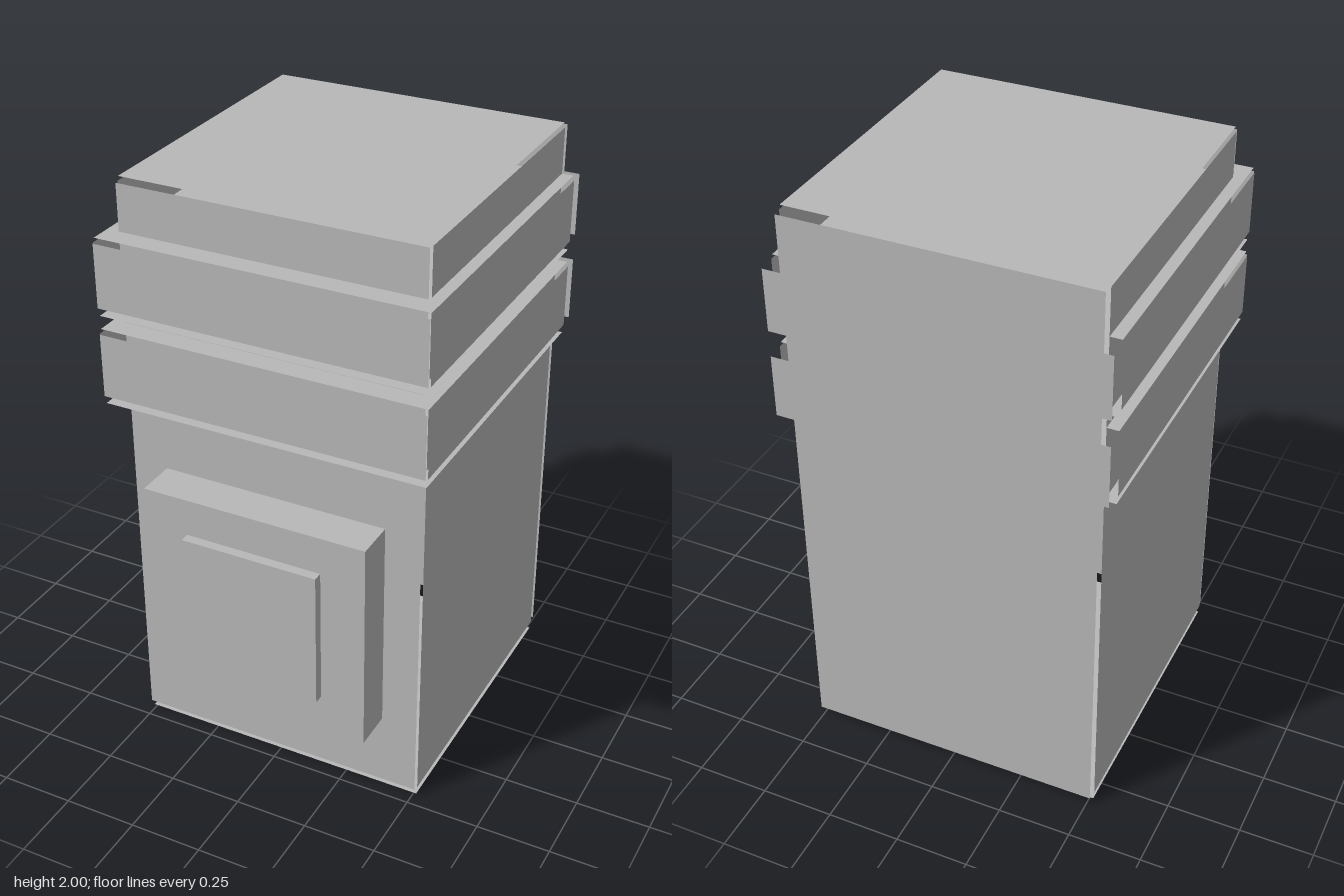
import * as THREE from 'three';

const grey = new THREE.MeshStandardMaterial({ color: 0xb8b8b8, side: THREE.DoubleSide });
grey.name = 'grey';

// Six loose panels around a box; each face sits slightly clear of its neighbours.
function panelShell(name, [x0, x1], [y0, y1], [z0, z1], gap) {
  const shell = new THREE.Group();
  shell.name = name;
  const w = x1 - x0, h = y1 - y0, d = z1 - z0;
  const cx = (x0 + x1) / 2, cy = (y0 + y1) / 2, cz = (z0 + z1) / 2;
  const panel = (label, pw, ph, position, rx, ry) => {
    const mesh = new THREE.Mesh(new THREE.PlaneGeometry(pw, ph), grey);
    mesh.name = label;
    mesh.position.set(...position);
    mesh.rotation.set(rx, ry, 0);
    shell.add(mesh);
  };
  panel('frontPanel', w, h, [cx, cy, z1 + gap.front], 0, 0);
  panel('backPanel', w, h, [cx, cy, z0 - gap.back], 0, Math.PI);
  panel('leftPanel', d, h, [x1 + gap.side, cy, cz], 0, Math.PI / 2);
  panel('rightPanel', d, h, [x0 - gap.side, cy, cz], 0, -Math.PI / 2);
  panel('topPanel', w, d, [cx, y1 + gap.top, cz], -Math.PI / 2, 0);
  panel('bottomPanel', w, d, [cx, y0 - gap.bottom, cz], Math.PI / 2, 0);
  return shell;
}

function block(name, [x0, x1], [y0, y1], [z0, z1]) {
  const mesh = new THREE.Mesh(new THREE.BoxGeometry(x1 - x0, y1 - y0, z1 - z0), grey);
  mesh.name = name;
  mesh.position.set((x0 + x1) / 2, (y0 + y1) / 2, (z0 + z1) / 2);
  return mesh;
}

export function createModel() {
  const model = new THREE.Group();
  model.name = 'panelledPillar';

  // Tall body
  model.add(panelShell('body', [-0.512, 0.509], [0.029, 1.984], [-0.573, 0.448],
    { front: 0.015, back: 0.03, side: 0.003, top: 0.016, bottom: 0.029 }));

  // Two bands wrapped around the upper body
  [['lowerBand', 1.29, 1.506], ['upperBand', 1.596, 1.811]].forEach(([name, y0, y1]) => {
    model.add(panelShell(name, [-0.554, 0.551], [y0, y1], [-0.573, 0.535],
      { front: 0.008, back: 0.06, side: 0.004, top: 0.016, bottom: 0.029 }));
  });

  // Stepped plate on the front
  model.add(block('frontPlate', [-0.39, 0.387], [0.286, 1.026], [0.448, 0.6]));
  model.add(block('frontPlateStep', [-0.238, 0.235], [0.42, 0.897], [0.6, 0.633]));

  return model;
}
